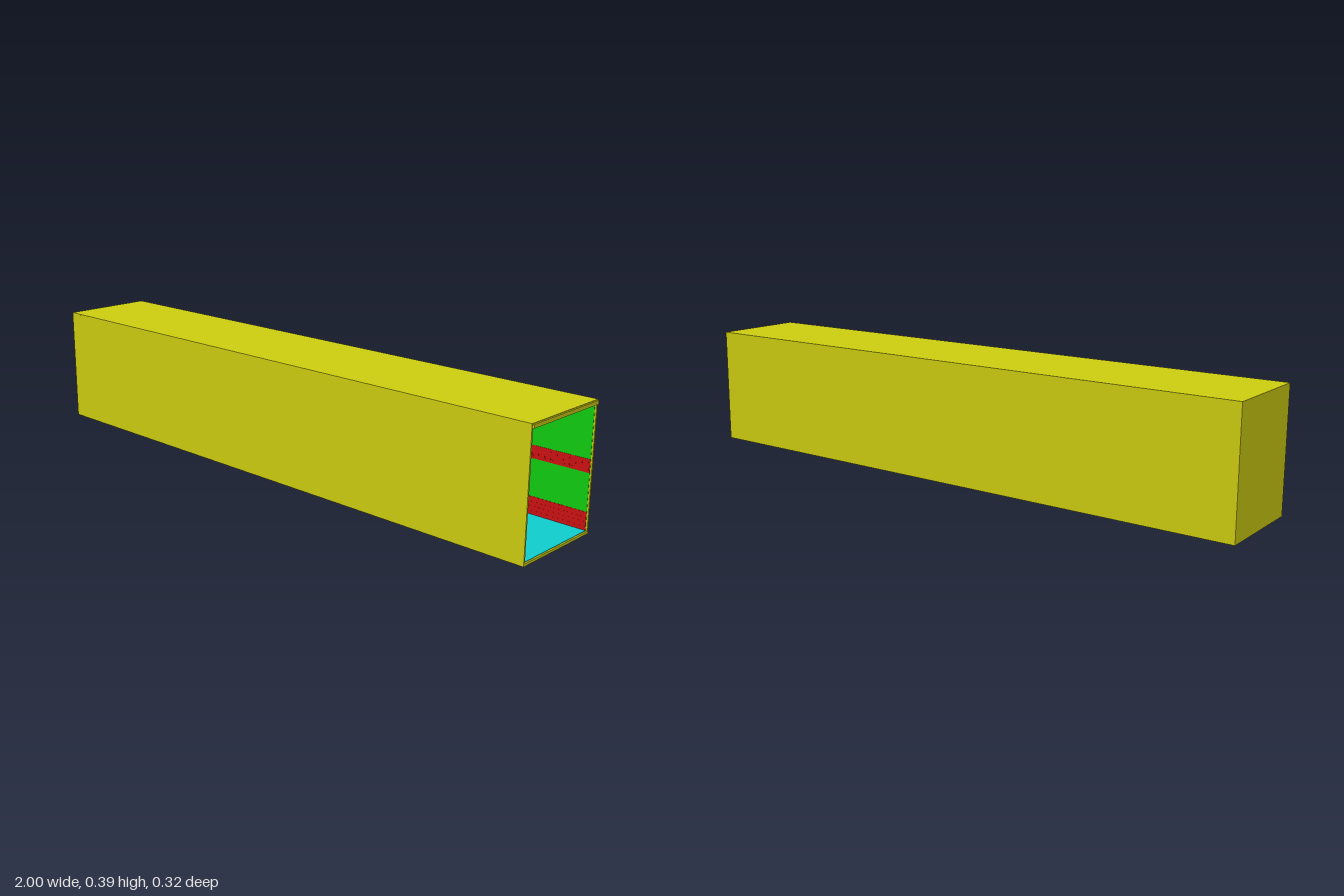
import * as THREE from 'three';

const paint = (color) => new THREE.MeshStandardMaterial({ color });

export function createModel() {
  const model = new THREE.Group();
  model.name = 'cargoBody';
  const yellow = paint(0xcccc10), green = paint(0x10cc10), red = paint(0xcc1010);
  const cyan = paint(0x10cccc), magenta = paint(0xcc10cc);

  // Box given by its lower and upper limits on each axis
  function block(name, mat, [x0, x1], [y0, y1], [z0, z1], parent = model) {
    const mesh = new THREE.Mesh(new THREE.BoxGeometry(x1 - x0, y1 - y0, z1 - z0), mat);
    mesh.position.set((x0 + x1) / 2, (y0 + y1) / 2, (z0 + z1) / 2);
    mesh.name = name;
    parent.add(mesh);
    return mesh;
  }
  function group(name) {
    const g = new THREE.Group();
    g.name = name;
    model.add(g);
    return g;
  }

  // Outer shell, open at the +x end
  const H = 0.393, W = 0.16, END = 0.995;
  block('outerFloor', yellow, [-1, END], [0, 0.008], [-W, W]);
  block('outerRoof', yellow, [-1, END], [0.388, H], [-W, W]);
  block('closedEnd', yellow, [-1, -0.993], [0.008, 0.388], [-W, W]);
  block('openingHeader', yellow, [0.985, 1], [0.38, 0.3915], [-0.157, 0.157]);

  // Floor deck and ceiling lining
  block('floorDeck', cyan, [-0.993, 0.99], [0.008, 0.0095], [-0.154, 0.154]);
  block('ceilingLining', cyan, [-0.993, 0.985], [0.385, 0.388], [-0.154, 0.154]);

  // Ceiling ribs run across the body
  const ribs = group('ceilingRibs');
  for (let i = 0; i < 40; i++) {
    const x = -0.97 + i * 0.05;
    block('ceilingRib', red, [x - 0.006, x + 0.006], [0.381, 0.385], [-0.153, 0.153], ribs);
  }

  // Side walls with lining, slotted cargo rail and stepped kick strips
  for (const s of [1, -1]) {
    const side = s > 0 ? 'left' : 'right';
    const span = (a, b) => (s > 0 ? [a, b] : [-b, -a]);
    block(side + 'OuterWall', yellow, [-1, END], [0.008, 0.388], span(0.1545, W));
    block(side + 'Lining', green, [-0.993, 0.99], [0.0095, 0.385], span(0.1536, 0.1545));
    block(side + 'TopRail', red, [-0.993, 0.985], [0.38, 0.385], span(0.152, 0.1536));

    const kick = group(side + 'KickStrips');
    for (let i = 0; i < 4; i++) {
      const y = 0.0095 + i * 0.0139;
      block('kickBacking', red, [-0.993, 0.99], [y, y + 0.0139], span(0.1532, 0.1536), kick);
      block('kickRidge', red, [-0.993, 0.99], [y + 0.002, y + 0.012], span(0.1528, 0.1532), kick);
    }

    const rail = group(side + 'CargoRail');
    block('railBacking', red, [-0.993, 0.99], [0.18, 0.22], span(0.1533, 0.1536), rail);
    for (const y of [0.18, 0.212]) {
      block('railLip', red, [-0.993, 0.99], [y, y + 0.008], span(0.1528, 0.1533), rail);
    }
    for (let i = 0; i < 99; i++) {
      const x = -0.985 + i * 0.02;
      block('railBridge', red, [x, x + 0.01], [0.188, 0.212], span(0.1528, 0.1533), rail);
    }

    // Posts against the closed end
    block(side + 'EndPost', red, [-0.993, -0.965], [0.0095, 0.381], span(0.097, 0.12));
    for (const z of [0.092, 0.12]) {
      block(side + 'PostFlange', red, [-0.993, -0.975], [0.0095, 0.381], span(z, z + 0.004));
    }
  }

  // Closed end lining in separate panels, with a kick plate
  const seams = [-0.1536, -0.09, -0.033, 0.033, 0.09, 0.1536];
  const lining = group('endLining');
  for (let i = 0; i < 5; i++) {
    block('endPanel', green, [-0.993, -0.985], [0.0095, 0.385],
      [seams[i] + 0.0004, seams[i + 1] - 0.0004], lining);
  }
  block('endKickPlate', red, [-0.985, -0.98], [0.023, 0.065], [-0.1528, 0.1528]);
  block('endKickFoot', red, [-0.985, -0.977], [0.0095, 0.023], [-0.1528, 0.1528]);

  // Flat air duct hung below the ribs
  block('airDuct', magenta, [-0.98, 0.78], [0.371, 0.3765], [-0.105, 0.105]);
  const hangers = group('ductHangers');
  for (let x = -0.92; x < 0.78; x += 0.2) {
    for (const z of [-0.08, -0.04, 0, 0.04, 0.08]) {
      block('ductHanger', red, [x - 0.004, x + 0.004], [0.3765, 0.381], [z - 0.004, z + 0.004], hangers);
    }
  }
  return model;
}
